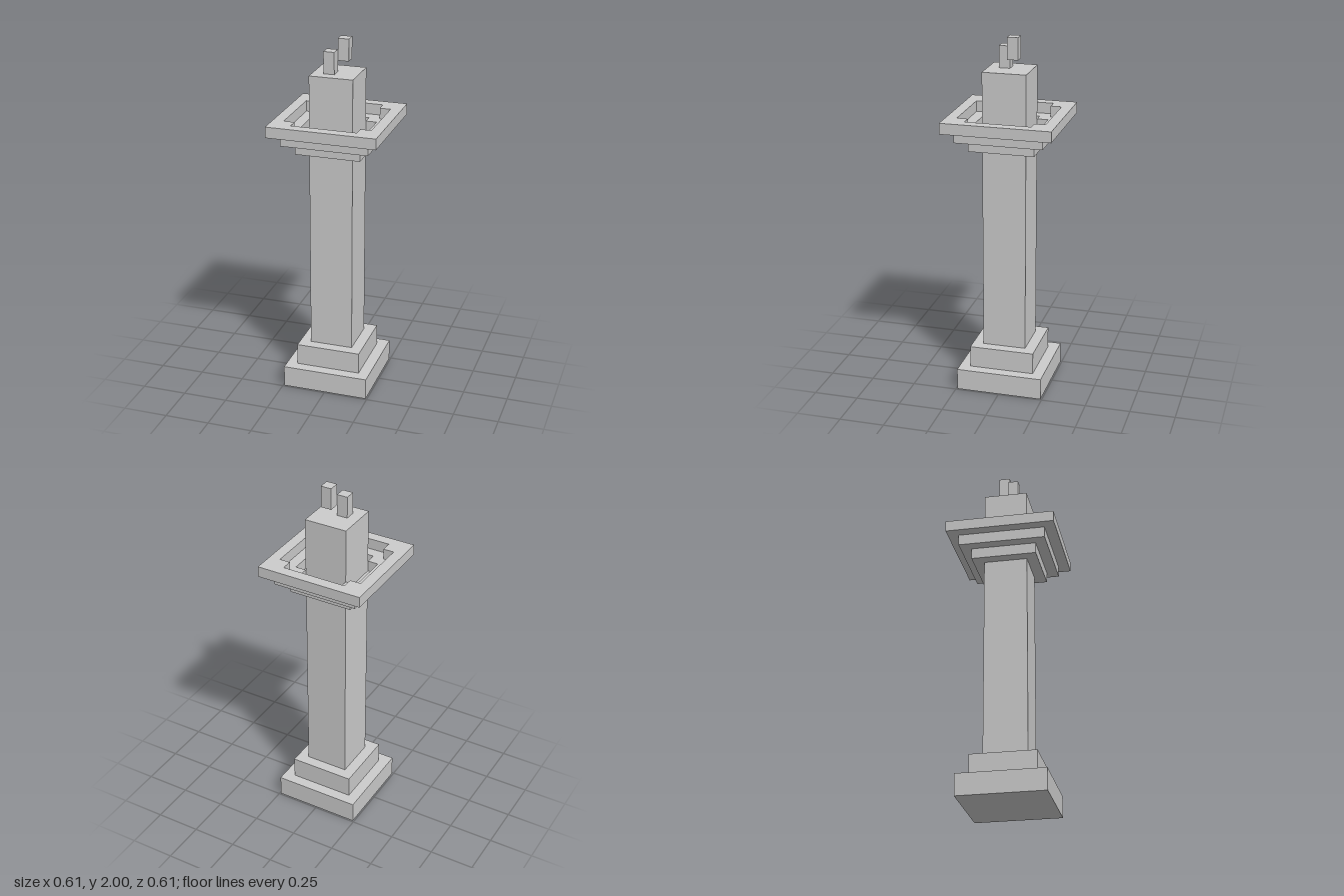
import * as THREE from 'three';

const U = 2 / 33; // one block
const material = new THREE.MeshStandardMaterial({ color: 0xcccccc, flatShading: true });

export function createModel() {
  const group = new THREE.Group();

  const add = (name, geometry, x, y, z) => {
    const mesh = new THREE.Mesh(geometry, material);
    mesh.name = name;
    mesh.position.set(x * U, y * U, z * U);
    group.add(mesh);
  };

  // Square block of width w from level y0 to y1, in block units
  const block = (name, w, y0, y1, x = 0, z = 0) =>
    add(name, new THREE.BoxGeometry(w * U, (y1 - y0) * U, w * U), x, (y0 + y1) / 2, z);

  // Square slab, one block thick, with a hole whose four corners are notched in
  const ring = (name, half, y) => {
    const toPoints = (list) => list.map(([x, z]) => new THREE.Vector2(x * U, z * U));
    const o = half, a = half - 1, b = half - 2;
    const shape = new THREE.Shape(toPoints([[-o, -o], [o, -o], [o, o], [-o, o]]));
    shape.holes.push(new THREE.Path(toPoints([
      [-b, -a], [-b, -b], [-a, -b], [-a, b], [-b, b], [-b, a],
      [b, a], [b, b], [a, b], [a, -b], [b, -b], [b, -a],
    ])));
    const geometry = new THREE.ExtrudeGeometry(shape, { depth: U, bevelEnabled: false });
    geometry.rotateX(-Math.PI / 2);
    add(name, geometry, 0, y, 0);
  };

  // Stepped foot and shaft
  block('basePlinth', 8, 0, 2);
  block('baseStep', 6, 2, 4);
  block('shaft', 4, 4, 30);

  // Flaring collar, open at the top
  block('collarFloor', 6, 23, 24);
  ring('collarMiddle', 4, 24);
  ring('collarRim', 5, 25);

  // Two small flame blocks, the back one floating a block higher
  block('flameLow', 1, 30, 32, -0.5, 0.5);
  block('flameHigh', 1, 31, 33, 0.5, -0.5);

  return group;
}
